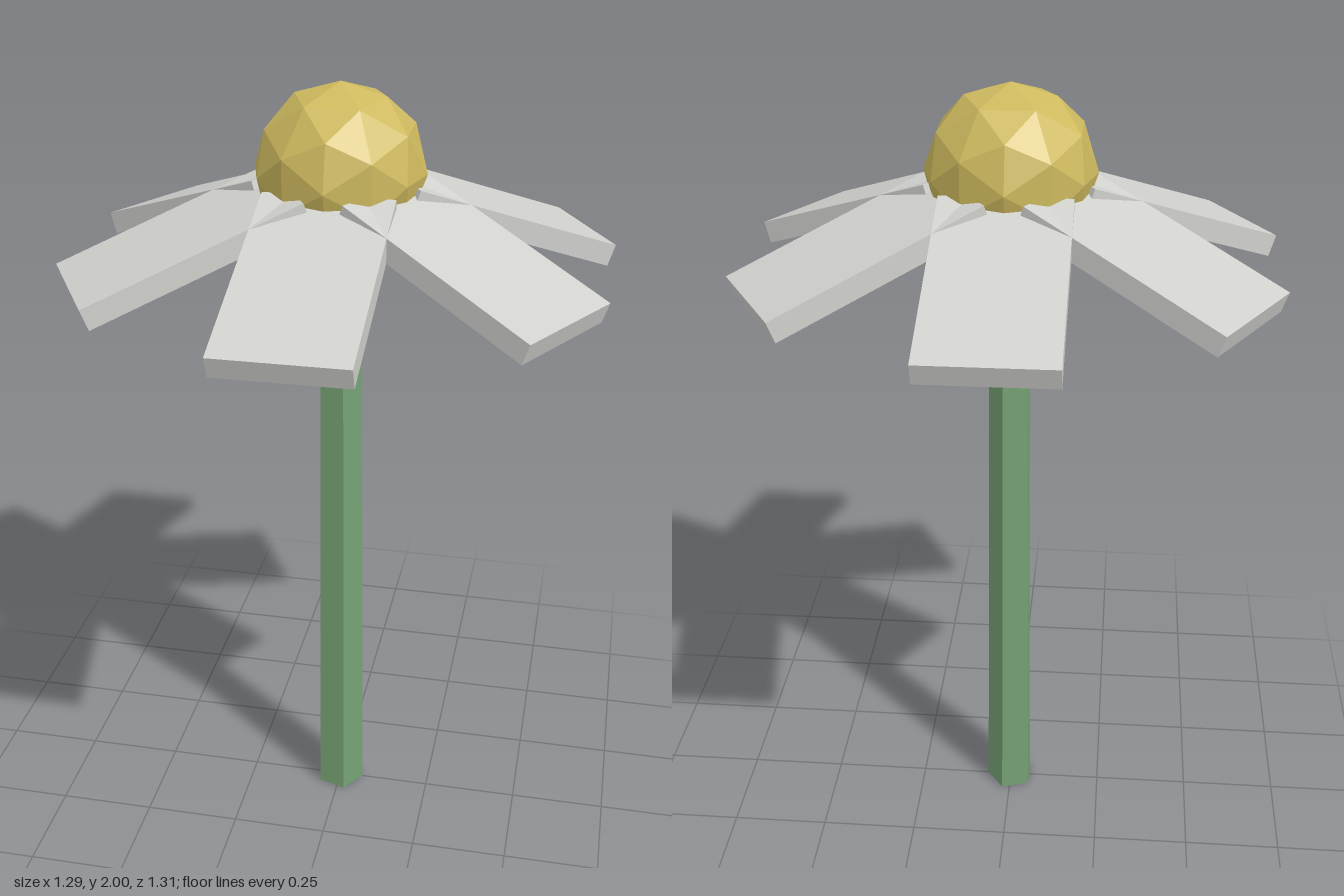
import * as THREE from 'three';

function flat(name, color) {
  const m = new THREE.MeshStandardMaterial({ color, flatShading: true });
  m.name = name;
  return m;
}

export function createModel() {
  const flower = new THREE.Group();
  flower.name = 'flower';
  const green = flat('stem green', 0x76a274);
  const yellow = flat('centre yellow', 0xcdb95e);
  const white = flat('petal white', 0xd0d0cd);

  // Five-sided tapering stem, one edge towards +x, ending inside the centre
  const stemGeo = new THREE.CylinderGeometry(0.051, 0.065, 1.7, 5);
  stemGeo.rotateY(Math.PI / 2).translate(0, 0.85, 0);
  const stem = new THREE.Mesh(stemGeo, green);
  stem.name = 'stem';
  flower.add(stem);

  // Faceted ball in the middle
  const centre = new THREE.Mesh(new THREE.IcosahedronGeometry(0.205, 1), yellow);
  centre.name = 'flowerCentre';
  centre.position.y = 1.795;
  flower.add(centre);

  // Six drooping slab petals around the centre
  const petalGeo = new THREE.BoxGeometry(0.309, 0.054, 0.548);
  petalGeo.rotateX(THREE.MathUtils.degToRad(20)).translate(0, 1.656, 0.388);
  for (let i = 0; i < 6; i++) {
    const petal = new THREE.Mesh(petalGeo, white);
    petal.name = `petal${i + 1}`;
    petal.rotation.y = (i * Math.PI) / 3;
    flower.add(petal);
  }
  return flower;
}
